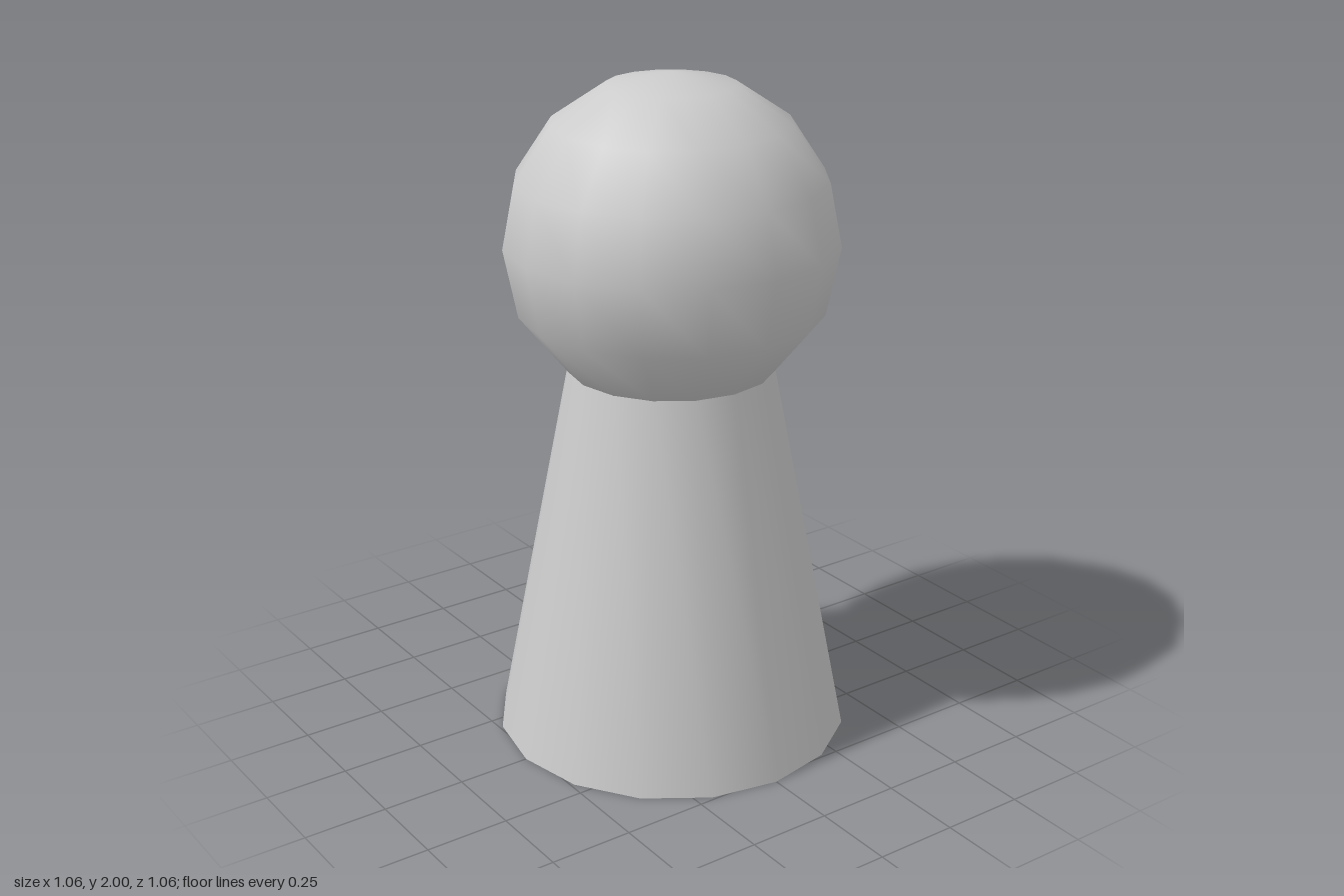
import * as THREE from 'three';

const SIDES = 16;
const NECK = [0.305, 1.14];

// Revolve a bottom-to-top profile of [radius, height] pairs
function revolve(name, profile) {
  const geometry = new THREE.LatheGeometry(profile.map(([r, y]) => new THREE.Vector2(r, y)), SIDES);
  const material = new THREE.MeshStandardMaterial({ color: 0xcccccc, side: THREE.DoubleSide });
  const mesh = new THREE.Mesh(geometry, material);
  mesh.name = name;
  return mesh;
}

export function createModel() {
  const group = new THREE.Group();
  group.name = 'pawn';

  // Tapered body, open underneath
  const body = revolve('body', [[0.53, 0], NECK]);

  // Ball head, cut off where it meets the neck
  const head = revolve('head', [
    NECK, [0.445, 1.315], [0.485, 1.517], [0.449, 1.70],
    [0.343, 1.86], [0.186, 1.965], [0, 2],
  ]);

  // Radial normals keep the head smooth right up to the pole
  const { position, normal } = head.geometry.attributes;
  const centre = new THREE.Vector3(0, 1.515, 0);
  const n = new THREE.Vector3();
  for (let i = 0; i < position.count; i++) {
    n.fromBufferAttribute(position, i).sub(centre).normalize();
    normal.setXYZ(i, n.x, n.y, n.z);
  }

  group.add(body, head);
  return group;
}
